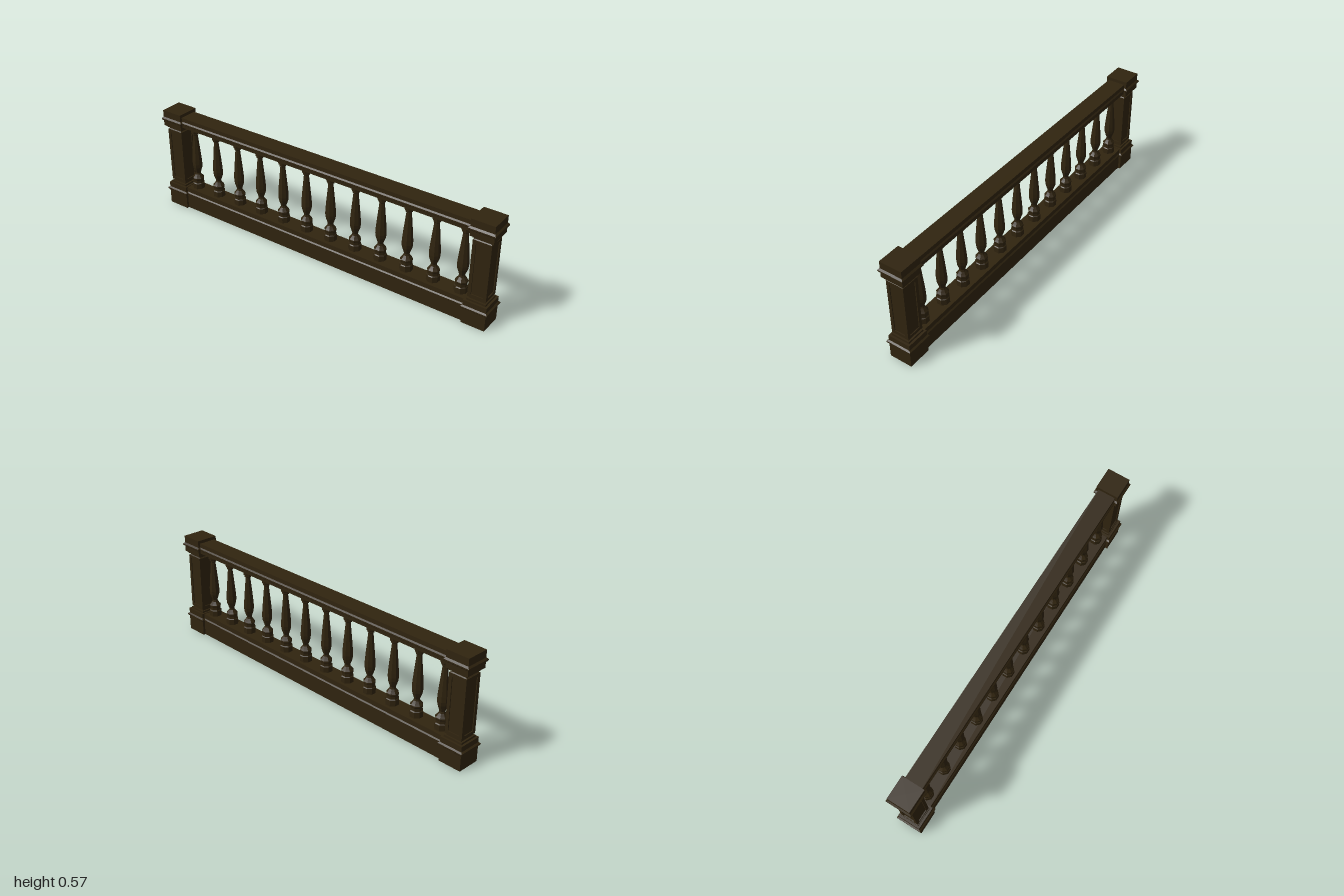
import * as THREE from 'three';

const darkWood = new THREE.MeshStandardMaterial({ color: 0x30240f, flatShading: true });
darkWood.name = 'darkWood';

function part(name, geometry) {
  const m = new THREE.Mesh(geometry, darkWood);
  m.name = name;
  return m;
}

// Turned profile with flat sides; each [halfWidth, y] is measured to the flats
function turned(points, sides) {
  const k = 1 / Math.cos(Math.PI / sides);
  const pts = points.map(([r, y]) => new THREE.Vector2(r * k, y));
  return new THREE.LatheGeometry(pts, sides, Math.PI / sides);
}

// Symmetric moulded bar running along x; each [halfDepth, y] goes bottom to top
function bar(points, length) {
  const right = points.map(([z, y]) => new THREE.Vector2(z, y));
  const left = points.map(([z, y]) => new THREE.Vector2(-z, y)).reverse();
  const g = new THREE.ExtrudeGeometry(new THREE.Shape([...right, ...left]), { depth: length, bevelEnabled: false });
  return g.translate(0, 0, -length / 2).rotateY(Math.PI / 2);
}

function rectangle(Type, halfWidth, y0, y1) {
  return new Type([[-halfWidth, y0], [halfWidth, y0], [halfWidth, y1], [-halfWidth, y1]]
    .map(([x, y]) => new THREE.Vector2(x, y)));
}

function createPost() {
  const post = new THREE.Group();
  post.name = 'post';
  post.add(part('postBase', turned([
    [0, 0], [0.061, 0], [0.061, 0.083], [0.064, 0.084], [0.069, 0.089], [0.069, 0.096],
    [0.061, 0.102], [0.061, 0.13], [0.05, 0.13], [0.05, 0.14], [0.041, 0.14],
    [0.041, 0.147], [0.047, 0.151], [0, 0.151]], 4)));
  post.add(part('postCap', turned([
    [0, 0.459], [0.047, 0.459], [0.041, 0.464], [0.041, 0.472], [0.05, 0.472], [0.05, 0.483],
    [0.061, 0.483], [0.061, 0.513], [0.064, 0.514], [0.069, 0.519], [0.069, 0.526],
    [0.061, 0.534], [0.061, 0.572], [0, 0.572]], 4)));
  post.add(part('postShaft', new THREE.BoxGeometry(0.086, 0.31, 0.086).translate(0, 0.305, 0)));

  // Raised frames leave a recessed panel on each side
  const frame = rectangle(THREE.Shape, 0.048, 0.15, 0.46);
  frame.holes.push(rectangle(THREE.Path, 0.031, 0.167, 0.443));
  const frameGeometry = new THREE.ExtrudeGeometry(frame, { depth: 0.006, bevelEnabled: false }).translate(0, 0, 0.042);
  for (let i = 0; i < 4; i++) {
    const f = part('panelFrame', frameGeometry);
    f.rotation.y = i * Math.PI / 2;
    post.add(f);
  }
  return post;
}

export function createModel() {
  const model = new THREE.Group();
  model.name = 'balustrade';

  // End posts
  for (const side of [-1, 1]) {
    const post = createPost();
    post.position.x = side * 0.931;
    model.add(post);
  }

  // Bottom plinth and handrail
  model.add(part('plinthRail', bar([
    [0.048, 0], [0.048, 0.083], [0.054, 0.088], [0.054, 0.095], [0.048, 0.101], [0.048, 0.127]], 1.8)));
  model.add(part('handrail', bar([
    [0.048, 0.497], [0.048, 0.513], [0.054, 0.518], [0.054, 0.526], [0.048, 0.533], [0.048, 0.555]], 1.8)));

  // Row of turned balusters
  const baluster = turned([
    [0.031, 0.126], [0.031, 0.158], [0.027, 0.162], [0.027, 0.178], [0.029, 0.183], [0.029, 0.19],
    [0.023, 0.198], [0.015, 0.21], [0.013, 0.22], [0.018, 0.235], [0.024, 0.255], [0.026, 0.275],
    [0.025, 0.3], [0.021, 0.35], [0.016, 0.405], [0.012, 0.45], [0.017, 0.455], [0.017, 0.463],
    [0.022, 0.467], [0.022, 0.498]], 8);
  for (let i = 0; i < 12; i++) {
    const b = part('baluster', baluster);
    b.position.x = (i - 5.5) * 0.15;
    model.add(b);
  }
  return model;
}
